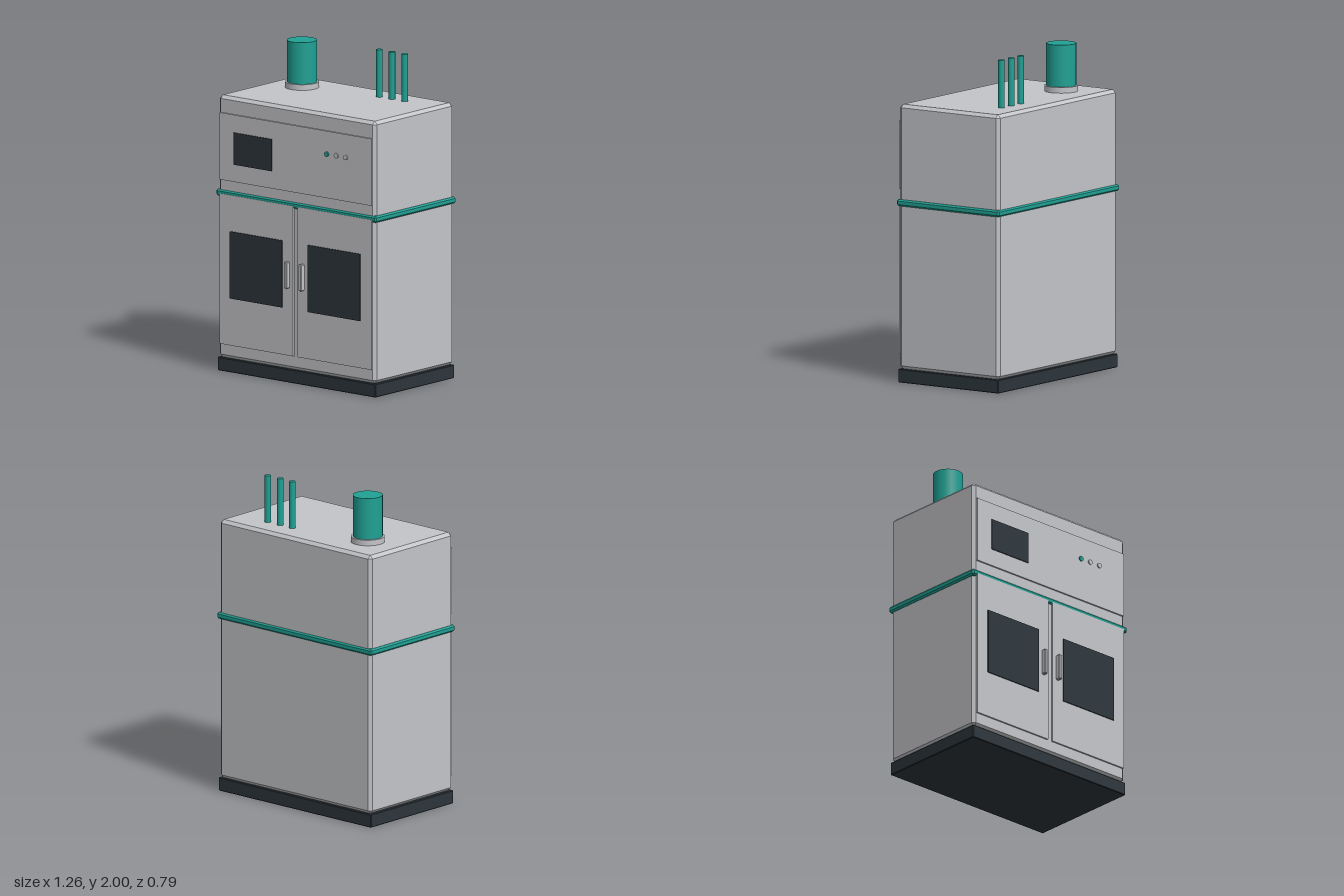
import * as THREE from 'three';
import { ConvexGeometry } from 'three/addons/geometries/ConvexGeometry.js';

const mat = (name, color) => {
  const m = new THREE.MeshStandardMaterial({ color });
  m.name = name;
  return m;
};

// Box with flat 45 degree chamfers on every edge, given by its min and max corners
function chamferBox([x0, y0, z0], [x1, y1, z1], c) {
  const h = [(x1 - x0) / 2, (y1 - y0) / 2, (z1 - z0) / 2];
  const points = [];
  for (const sx of [-1, 1]) for (const sy of [-1, 1]) for (const sz of [-1, 1]) {
    for (let full = 0; full < 3; full++) {
      const p = h.map((v, i) => (i === full ? v : v - c));
      points.push(new THREE.Vector3(p[0] * sx, p[1] * sy, p[2] * sz));
    }
  }
  return new ConvexGeometry(points).translate((x0 + x1) / 2, (y0 + y1) / 2, (z0 + z1) / 2);
}

function plainBox([x0, y0, z0], [x1, y1, z1]) {
  return new THREE.BoxGeometry(x1 - x0, y1 - y0, z1 - z0)
    .translate((x0 + x1) / 2, (y0 + y1) / 2, (z0 + z1) / 2);
}

// Upright cylinder between two heights
const post = (r, y0, y1, x, z, sides) =>
  new THREE.CylinderGeometry(r, r, y1 - y0, sides).translate(x, (y0 + y1) / 2, z);

export function createModel() {
  const grey = mat('light grey', 0xc4c5c9);
  const teal = mat('teal', 0x20a194);
  const dark = mat('dark slate', 0x2c353b);

  const model = new THREE.Group();
  model.name = 'cabinet';
  const add = (name, geometry, material) => {
    const mesh = new THREE.Mesh(geometry, material);
    mesh.name = name;
    model.add(mesh);
  };

  // Plinth, body and the band around it
  add('base', chamferBox([-0.623, 0, -0.388], [0.623, 0.083, 0.357], 0.004), dark);
  add('body', chamferBox([-0.62, 0.083, -0.388], [0.62, 1.707, 0.356], 0.02), grey);
  add('band', chamferBox([-0.632, 1.083, -0.397], [0.632, 1.124, 0.365], 0.01), teal);

  // Control panel with screen and buttons
  add('controlPanel', plainBox([-0.6, 1.187, 0.34], [0.6, 1.602, 0.367]), grey);
  add('screen', plainBox([-0.485, 1.295, 0.366], [-0.185, 1.493, 0.374]), dark);
  [0.249, 0.324, 0.398].forEach((x, i) => {
    const g = new THREE.CylinderGeometry(0.016, 0.016, 0.012, 16)
      .rotateX(Math.PI / 2).translate(x, 1.46, 0.368);
    add('button' + (i + 1), g, i === 0 ? teal : grey);
  });

  // Mirrored doors with windows and handles
  for (const s of [-1, 1]) {
    const side = s > 0 ? 'left' : 'right';
    const span = (a, b) => (s > 0 ? [a, b] : [-b, -a]);
    const [d0, d1] = span(0.018, 0.6);
    add(side + 'Door', plainBox([d0, 0.17, 0.34], [d1, 1.1, 0.367]), grey);
    const [w0, w1] = span(0.101, 0.515);
    add(side + 'Window', plainBox([w0, 0.462, 0.366], [w1, 0.877, 0.374]), dark);
    const [h0, h1] = span(0.046, 0.07);
    add(side + 'Handle', chamferBox([h0, 0.588, 0.36], [h1, 0.752, 0.397], 0.005), grey);
  }

  // Chimney with collar, and three thin pipes
  add('chimneyCollar', post(0.103, 1.7, 1.742, -0.376, -0.144, 48), grey);
  add('chimney', post(0.091, 1.7, 2, -0.376, -0.144, 48), teal);
  [0.165, 0.265, 0.365].forEach((x, i) => {
    add('pipe' + (i + 1), post(0.02, 1.7, 2, x, -0.228, 16), teal);
  });

  return model;
}
